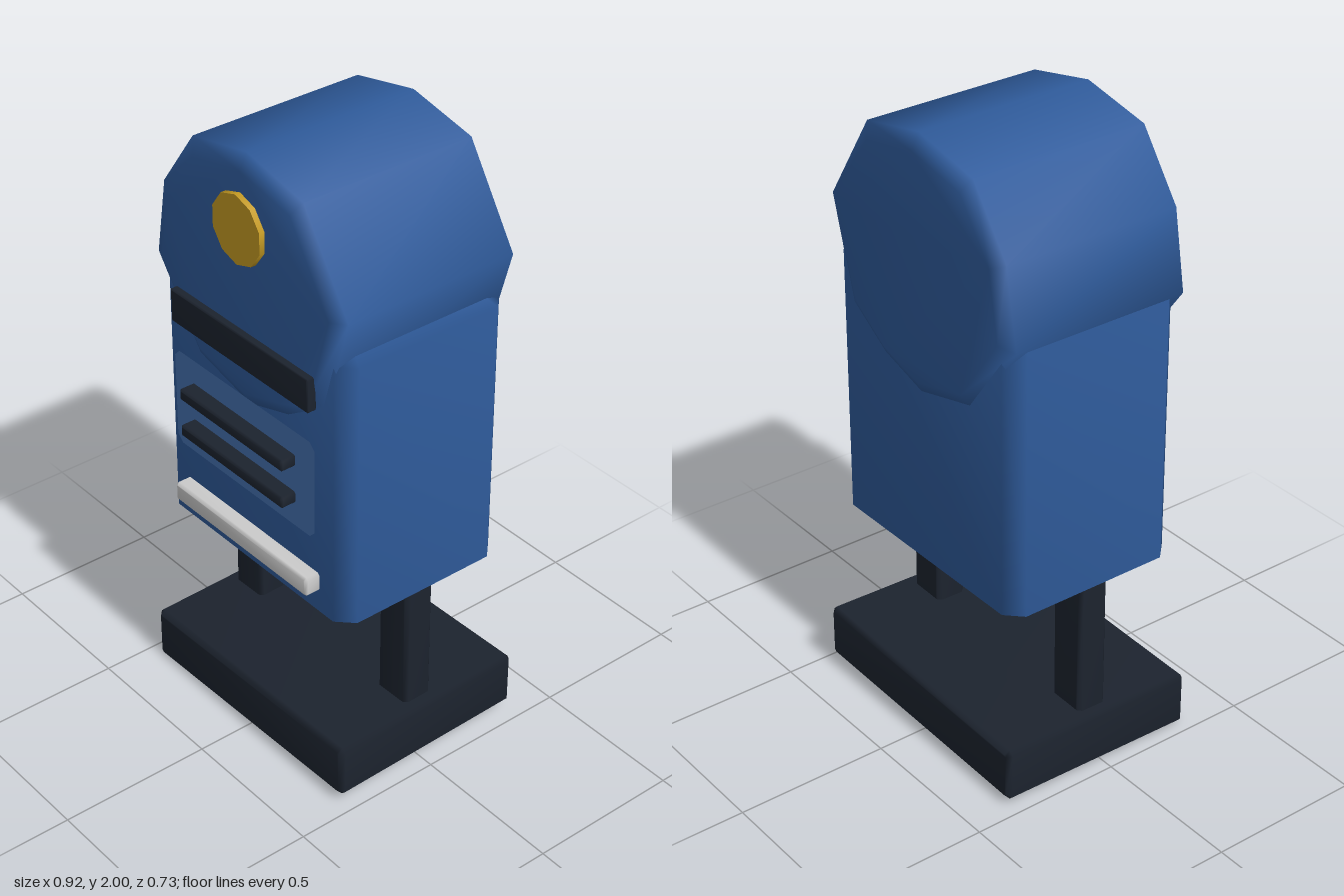
import * as THREE from 'three';
import { mergeVertices } from 'three/addons/utils/BufferGeometryUtils.js';

const material = (color) => new THREE.MeshStandardMaterial({ color });
const BLUE = material(0x2f5b9b), PANEL = material(0x4470ad), DARK = material(0x1c232e);
const GOLD = material(0xc49a22), SILVER = material(0xcccccc);

// Share vertices so the low-poly faces blend softly into each other
function smooth(geometry) {
  geometry.deleteAttribute('normal');
  geometry.deleteAttribute('uv');
  const g = mergeVertices(geometry, 1e-4);
  g.computeVertexNormals();
  return g;
}

// Solid with a chamfered rim, outline in x/y, reaching from z0 to z1
function bevelled(points, z0, z1, thickness, size) {
  const g = new THREE.ExtrudeGeometry(new THREE.Shape(points), {
    depth: z1 - z0 - 2 * thickness, bevelEnabled: true, bevelSegments: 1,
    bevelThickness: thickness, bevelSize: size, bevelOffset: -size,
  });
  g.translate(0, 0, z0 + thickness);
  return smooth(g);
}

// Rectangle with cut corners
function cutRect(x0, x1, y0, y1, c) {
  return [[x0 + c, y0], [x1 - c, y0], [x1, y0 + c], [x1, y1 - c],
    [x1 - c, y1], [x0 + c, y1], [x0, y1 - c], [x0, y0 + c]].map(p => new THREE.Vector2(...p));
}

const bar = (x0, x1, y0, y1, z0, z1, c) =>
  bevelled(cutRect(x0, x1, y0, y1, c), z0, z1, c, c);

export function createModel() {
  const model = new THREE.Group();
  const add = (name, geometry, mat) => {
    const mesh = new THREE.Mesh(geometry, mat);
    mesh.name = name;
    model.add(mesh);
    return mesh;
  };

  // Base slab, slightly tilted
  const base = bar(-0.462, 0.462, 0.01, 0.19, -0.362, 0.323, 0.015);
  const p = base.attributes.position;
  for (let i = 0; i < p.count; i++)
    p.setY(i, p.getY(i) + 0.012 * p.getX(i) / 0.46 - 0.008 * p.getZ(i) / 0.34);
  base.computeVertexNormals();
  base.translate(0, 0.008, 0);
  add('base', base, DARK);

  // Legs
  for (const [name, x] of [['rightLeg', -0.357], ['leftLeg', 0.352]])
    add(name, bar(x - 0.066, x + 0.066, 0.15, 0.635, -0.065, 0.037, 0.012), DARK);

  // Body, extruded upwards from its plan
  const body = bevelled(cutRect(-0.425, 0.425, -0.285, 0.32, 0.05), 0.585, 1.54, 0.04, 0.07);
  body.rotateX(-Math.PI / 2);
  add('body', body, BLUE);

  // Ten-sided hood lying across the top
  const hood = [[0, 2], [-0.245, 1.95], [-0.39, 1.75], [-0.432, 1.5], [-0.24, 1.24],
    [0, 1.18], [0.18, 1.235], [0.34, 1.34], [0.432, 1.66], [0.245, 1.95]]
    .map(q => new THREE.Vector2(...q));
  add('hood', bevelled(hood, -0.337, 0.305, 0.025, 0.05), BLUE);

  // Round badge
  const badge = new THREE.CylinderGeometry(0.11, 0.11, 0.04, 10);
  badge.rotateX(Math.PI / 2);
  badge.translate(0, 1.775, 0.303);
  add('badge', badge, GOLD);

  // Letter slot
  add('letterSlot', bar(-0.315, 0.315, 1.335, 1.445, 0.295, 0.328, 0.004), DARK);

  // Thin notice panel with two dark strips
  const plate = new THREE.ShapeGeometry(new THREE.Shape(cutRect(-0.325, 0.325, 0.905, 1.23, 0.022)));
  plate.translate(0, 0, 0.312);
  const thin = PANEL.clone();
  thin.side = THREE.DoubleSide;
  add('noticePanel', plate, thin);
  for (const [name, y] of [['upperStrip', 1.132], ['lowerStrip', 1.005]])
    add(name, bar(-0.24, 0.24, y - 0.02, y + 0.02, 0.308, 0.363, 0.006), DARK);

  // Handle bar
  add('handleBar', bar(-0.315, 0.315, 0.7, 0.765, 0.28, 0.337, 0.008), SILVER);

  return model;
}
